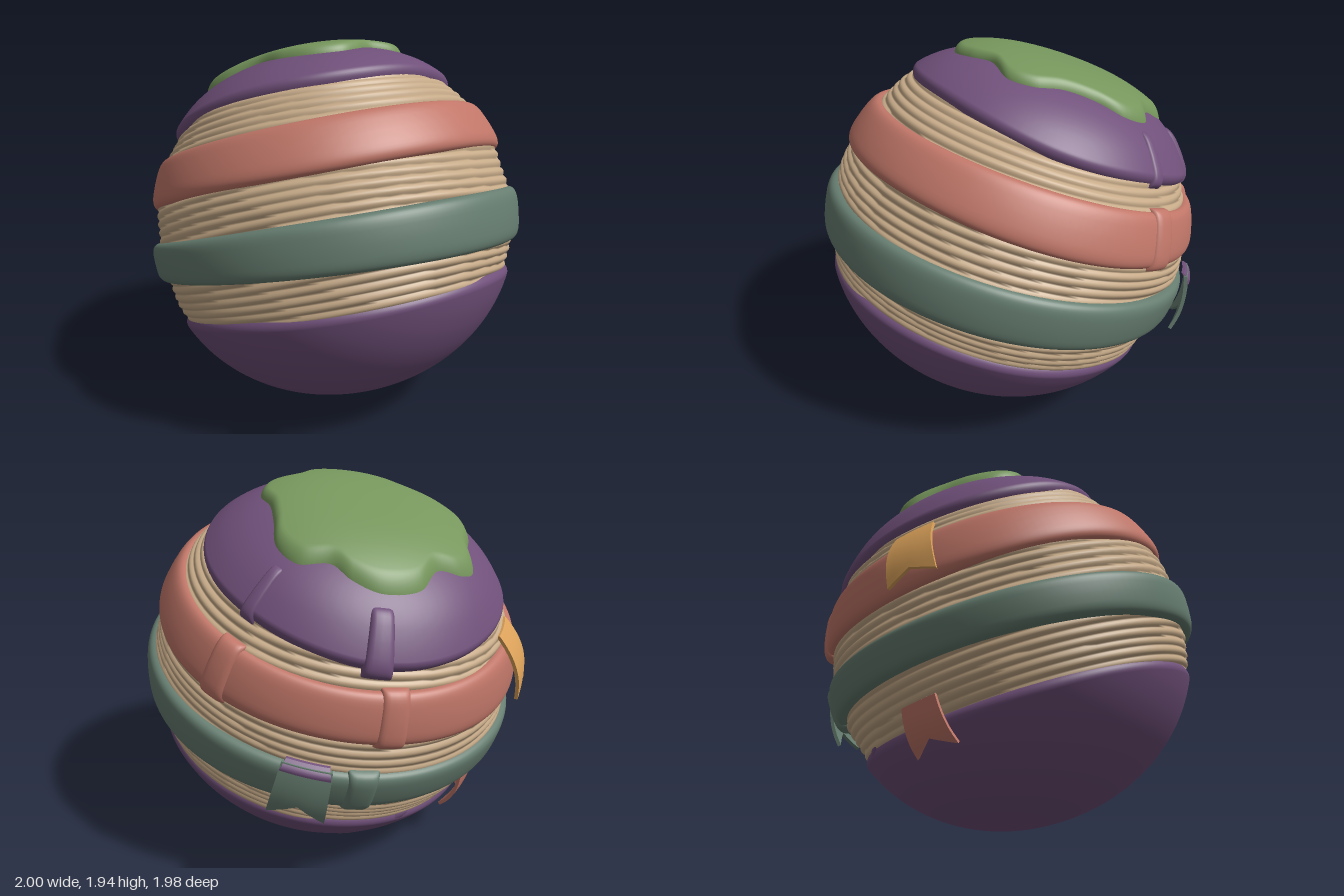
import * as THREE from 'three';
import { ParametricGeometry } from 'three/addons/geometries/ParametricGeometry.js';

const TAU = Math.PI * 2, rad = THREE.MathUtils.degToRad;
const CENTRE_Y = 0.94, TILT = rad(20);
const mat = (name, color) => {
  const m = new THREE.MeshStandardMaterial({ color });
  m.name = name;
  return m;
};

// point on the ball: phi runs from the front (+z) towards +x, lat is up from the equator
const place = (phi, lat, r, target) => target.set(
  r * Math.cos(lat) * Math.sin(phi), r * Math.sin(lat), r * Math.cos(lat) * Math.cos(phi));
const latOf = h => Math.asin(h / 0.985);
const fall = (x, p) => Math.sign(x) * Math.pow(Math.abs(x), p);

// flattened upper cap radius, by angle from the pole
const topRadius = theta => 0.905 + 0.085 * THREE.MathUtils.smoothstep(theta, 0, 0.8);
const bottomRadius = theta => 0.94 + 0.04 * THREE.MathUtils.smoothstep(theta, 0, 1.1);

export function createModel() {
  const twine = mat('twine tan', 0xc6aa88);
  const red = mat('brick red', 0xc07668);
  const teal = mat('grey green', 0x667d70);
  const purple = mat('plum purple', 0x70507a);
  const green = mat('leaf green', 0x76965c);
  const orange = mat('amber', 0xdca25a);

  const model = new THREE.Group();
  model.name = 'woundBall';
  const ball = new THREE.Group();
  ball.name = 'tiltedBall';
  ball.position.y = CENTRE_Y;
  ball.rotation.x = -TILT;
  model.add(ball);

  const add = (name, geometry, material, parent = ball) => {
    const mesh = new THREE.Mesh(geometry, material);
    mesh.name = name;
    parent.add(mesh);
  };

  // twine core with fine wound ridges
  add('twineCore', new ParametricGeometry((u, v, t) => {
    const phi = u * TAU, lat = -0.75 + v * 1.75;
    const wave = lat * 66 + 0.9 * Math.sin(phi * 2) + 0.7 * Math.sin(phi * 3 + lat * 4);
    const r = 0.95 + 0.011 * Math.abs(Math.sin(wave)) + 0.004 * Math.sin(lat * 23 + phi * 2);
    place(phi, lat, r, t);
  }, 96, 220), twine);

  // padded strip between two heights; short arcs get rounded ends
  const band = (name, material, lo, hi, radius, from = 0, to = 360, skew = 0) => {
    const arc = to - from < 359;
    add(name, new ParametricGeometry((u, v, t) => {
      const cu = arc ? 0.5 - 0.5 * fall(Math.cos(Math.PI * u), 0.5) : u;
      const endRise = arc ? Math.pow(Math.max(Math.sin(Math.PI * u), 0), 0.45) : 1;
      const f = 0.5 - 0.5 * fall(Math.cos(Math.PI * v), 0.42);
      const rise = Math.pow(Math.max(Math.sin(Math.PI * v), 0), 0.6) * endRise;
      const phi = rad(from + (to - from) * cu + skew * (f - 0.5));
      const a = latOf(lo(phi)), b = latOf(hi(phi));
      place(phi, a + (b - a) * f, 0.925 + (radius - 0.925) * rise, t);
    }, arc ? 14 : 144, 24), material);
  };

  const redLo = p => 0.22 + 0.008 * Math.sin(p * 3), redHi = p => 0.478 + 0.008 * Math.sin(p * 2);
  const tealLo = p => -0.2 - 0.07 * Math.cos(p) - 0.025 * Math.sin(p);
  const tealHi = p => 0.04 - 0.035 * Math.cos(p);
  const wider = (f, d) => p => f(p) + d;
  band('upperBand', red, redLo, redHi, 0.993);
  band('lowerBand', teal, tealLo, tealHi, 1.0);
  // overlapping strip ends
  band('upperBandFold', red, wider(redLo, -0.015), wider(redHi, 0.015), 1.01, 103, 112);
  band('upperBandEnd', red, wider(redLo, -0.015), wider(redHi, 0.015), 1.008, 155, 164);
  band('lowerBandEnd', teal, wider(tealLo, -0.015), wider(tealHi, 0.015), 1.015, 150, 159);

  // caps with a rounded rim, running from the rim to the pole
  const cap = (name, sign, edge, radiusAt) => add(name, new ParametricGeometry((u, v, t) => {
    const phi = sign * u * TAU, start = latOf(Math.abs(edge(phi)));
    const k = Math.min(v / 0.2, 1) * Math.PI / 2, shoulder = start + 0.05 * (1 - Math.cos(k));
    const lat = v < 0.2 ? shoulder : THREE.MathUtils.lerp(start + 0.05, 1.5705, (v - 0.2) / 0.8);
    const r = 0.925 + (radiusAt(Math.PI / 2 - lat) - 0.925) * Math.sin(k);
    place(phi, sign * lat, r, t);
  }, 120, 50), purple);

  const topEdge = p => 0.6 + 0.05 * Math.cos(p + 0.3) + 0.008 * Math.sin(p * 4);
  const bottomEdge = p => -0.385 - 0.03 * Math.cos(p) + 0.008 * Math.sin(p * 3);
  cap('topCap', 1, topEdge, topRadius);
  cap('bottomCap', -1, bottomEdge, bottomRadius);
  band('topCapFold', purple, wider(topEdge, -0.012), () => 0.78, 1.002, 104, 110);
  band('topCapEnd', purple, wider(topEdge, -0.03), () => 0.76, 1.01, 148, 158);
  band('bottomCapSeam', purple, () => -0.66, wider(bottomEdge, 0.01), 0.981, 163, 168, 22);

  // lobed leaf-coloured patch laid over the top cap
  const outline = new THREE.CatmullRomCurve3([
    [-0.567, -0.37], [-0.5, -0.505], [-0.385, -0.62], [-0.3, -0.745], [-0.2, -0.77],
    [-0.065, -0.75], [0.085, -0.805], [0.27, -0.76], [0.365, -0.665], [0.405, -0.57],
    [0.525, -0.48], [0.55, -0.345], [0.48, -0.21], [0.42, -0.08], [0.39, 0.06],
    [0.3, 0.15], [0.12, 0.15], [0, 0.215], [-0.11, 0.24], [-0.25, 0.18],
    [-0.345, 0.06], [-0.4, -0.1], [-0.53, -0.24],
  ].map(([x, z]) => new THREE.Vector3(x, 0, z)), true);
  const axis = new THREE.Vector3(0, Math.cos(TILT), -Math.sin(TILT));
  add('topPatch', new ParametricGeometry((u, v, t) => {
    const k = Math.min(v / 0.35, 1) * Math.PI / 2;
    const s = v < 0.35 ? 1 - 0.09 * (1 - Math.cos(k)) : THREE.MathUtils.lerp(0.91, 0.001, (v - 0.35) / 0.65);
    const p = outline.getPoint((1 - u) % 1);
    const x = -0.02 + (p.x + 0.02) * s, z = -0.28 + (p.z + 0.28) * s;
    let r = 0.96;
    for (let i = 0; i < 4; i++) {
      t.set(x, Math.sqrt(r * r - x * x - z * z), z);
      r = topRadius(t.angleTo(axis)) - 0.02 + 0.058 * Math.sin(k);
    }
    t.set(x, CENTRE_Y + Math.sqrt(r * r - x * x - z * z), z);
  }, 150, 28), green, model);

  // hanging swallow-tailed ribbon tags, bent over the ball
  const tag = (name, material, phi, hTop, hBottom, width, r0, r1, notch = 0.3, thick = 0.018) => {
    const g = new THREE.BoxGeometry(1, 1, thick, 6, 10, 1);
    const pos = g.attributes.position, p = new THREE.Vector3();
    const top = latOf(hTop), bottom = latOf(hBottom);
    for (let i = 0; i < pos.count; i++) {
      p.fromBufferAttribute(pos, i);
      const down = 0.5 - p.y;
      const f = down * (1 - notch * (1 - Math.abs(p.x) * 2) * down);
      const r = r0 + (r1 - r0) * Math.sin(Math.min(f * 1.9, Math.PI / 2)) + p.z;
      const lat = top + (bottom - top) * f;
      place(rad(phi) + p.x * width * (0.92 + 0.12 * f) / Math.cos(lat), lat, r, p);
      pos.setXYZ(i, p.x, p.y, p.z);
    }
    g.computeVertexNormals();
    add(name, g, material);
  };
  tag('amberTag', orange, 217, 0.54, 0.22, 0.23, 0.965, 1.035, 0.15);
  tag('greenTag', teal, 139, 0.1, -0.18, 0.25, 1.01, 1.055);
  tag('greenTagFold', purple, 139, 0.11, 0.065, 0.22, 0.99, 1.03, 0, 0.014);
  tag('redTag', red, 206, -0.27, -0.48, 0.22, 0.965, 1.02);

  return model;
}
